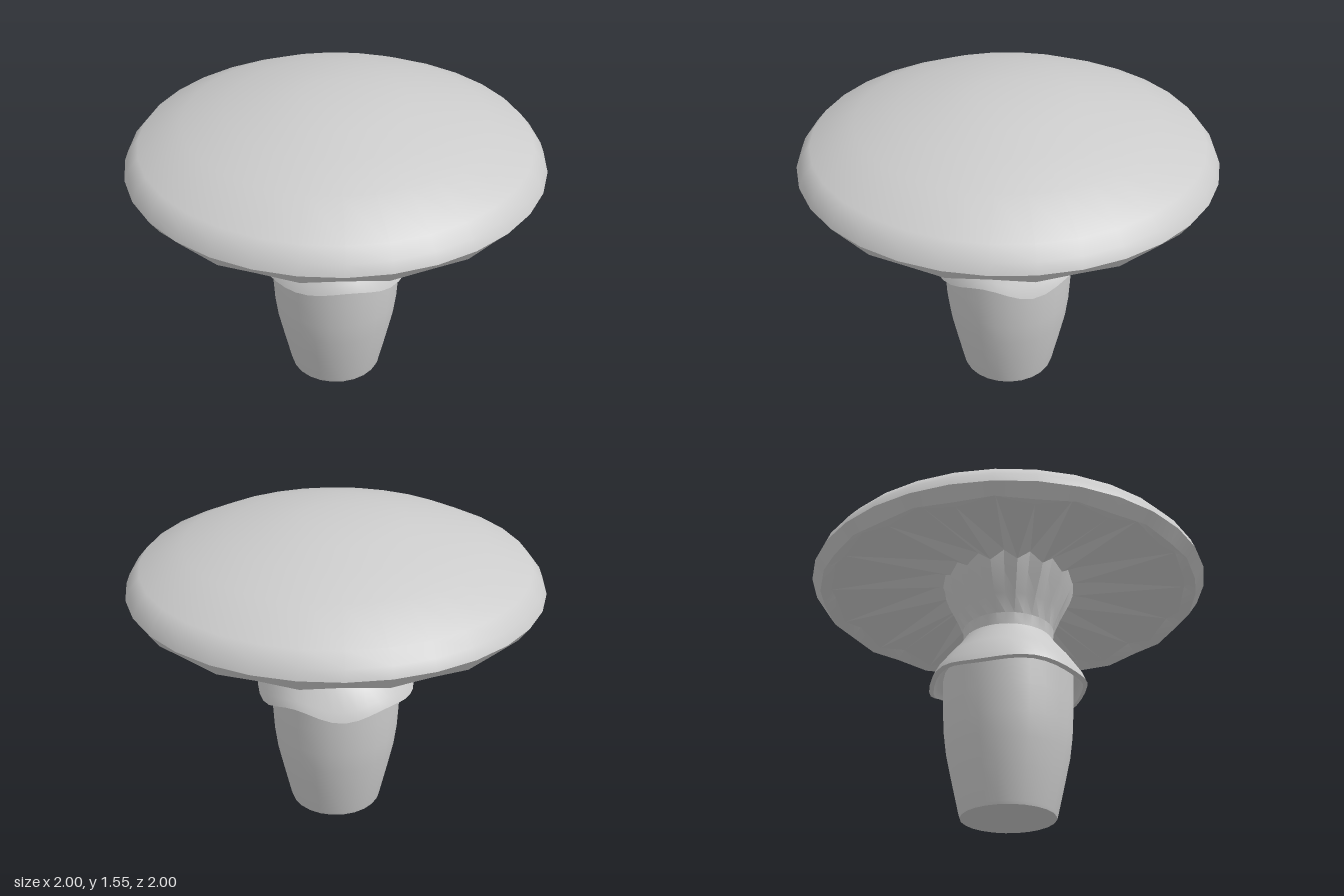
import * as THREE from 'three';
import { mergeVertices, toCreasedNormals } from 'three/addons/utils/BufferGeometryUtils.js';

const TAU = Math.PI * 2;

// Turned surface whose points may be moved by move(point, angleFromX); profiles run bottom to top
function turned(name, profile, segments, { move, flat = false, crease } = {}) {
  let geo = new THREE.LatheGeometry(profile.map(([r, y]) => new THREE.Vector2(r, y)), segments);
  geo.deleteAttribute('uv');
  geo.deleteAttribute('normal');
  if (move) {
    const pos = geo.attributes.position;
    const p = new THREE.Vector3();
    for (let i = 0; i < pos.count; i++) {
      p.fromBufferAttribute(pos, i);
      move(p, Math.atan2(p.z, p.x));
      pos.setXYZ(i, p.x, p.y, p.z);
    }
  }
  geo = mergeVertices(geo, 1e-4);
  geo.computeVertexNormals();
  if (crease) geo = toCreasedNormals(geo, crease);
  const mesh = new THREE.Mesh(geo, new THREE.MeshStandardMaterial({
    color: 0xcccccc, flatShading: flat, side: THREE.DoubleSide,
  }));
  mesh.name = name;
  return mesh;
}

export function createModel() {
  const model = new THREE.Group();
  model.name = 'mushroom';
  const pleats = 16;
  const pleatWave = (a) => Math.cos(a * pleats); // +1 in a groove, -1 on a ridge

  // Domed cap
  model.add(turned('capDome', [
    [1, 1.22], [0.98, 1.27], [0.93, 1.33], [0.72, 1.43], [0.52, 1.485],
    [0.34, 1.53], [0.16, 1.55], [0, 1.552],
  ], 32));

  // Wavy lip curling under the cap
  model.add(turned('capLip', [[0.9, 1.19], [0.955, 1.163], [1, 1.22]], 32, {
    crease: 0.7,
    move: (p, a) => {
      const r = Math.hypot(p.x, p.z);
      if (r < 0.99) p.y += pleatWave(a) * (r < 0.93 ? 0.025 : 0.008);
    },
  }));

  // Pleated gills, fading out towards the stem
  model.add(turned('gills', [[0.2, 1.26], [0.34, 1.245], [0.9, 1.19]], 32, {
    flat: true,
    move: (p, a) => { p.y += pleatWave(a) * 0.025; },
  }));

  // Fluted neck flaring up into the gills
  model.add(turned('neck', [
    [0.225, 0.92], [0.23, 0.98], [0.265, 1.07], [0.31, 1.17], [0.345, 1.27],
  ], 32, {
    crease: 0.3,
    move: (p, a) => {
      const k = 1 - pleatWave(a) * 0.03 * THREE.MathUtils.smoothstep(p.y, 0.98, 1.17);
      p.x *= k;
      p.z *= k;
    },
  }));

  // Skirt ring with a rippled hem and a turned-in underside
  model.add(turned('skirt', [
    [0.31, 0.72], [0.35, 0.69], [0.37, 0.66], [0.392, 0.668], [0.375, 0.71],
    [0.315, 0.8], [0.25, 0.88], [0.225, 0.92],
  ], 40, {
    crease: 0.9,
    move: (p, a) => {
      const hem = 1 - THREE.MathUtils.smoothstep(p.y, 0.665, 0.8);
      p.y += hem * (0.003 - (0.018 + 0.01 * Math.cos(a)) * Math.cos(5 * a));
    },
  }));

  // Stem, narrowing to a flat foot
  model.add(turned('stem', [
    [0, 0], [0.23, 0], [0.235, 0.015], [0.272, 0.18], [0.3, 0.31], [0.314, 0.42],
    [0.322, 0.56], [0.326, 0.74],
  ], 24, { crease: 0.7 }));

  return model;
}
